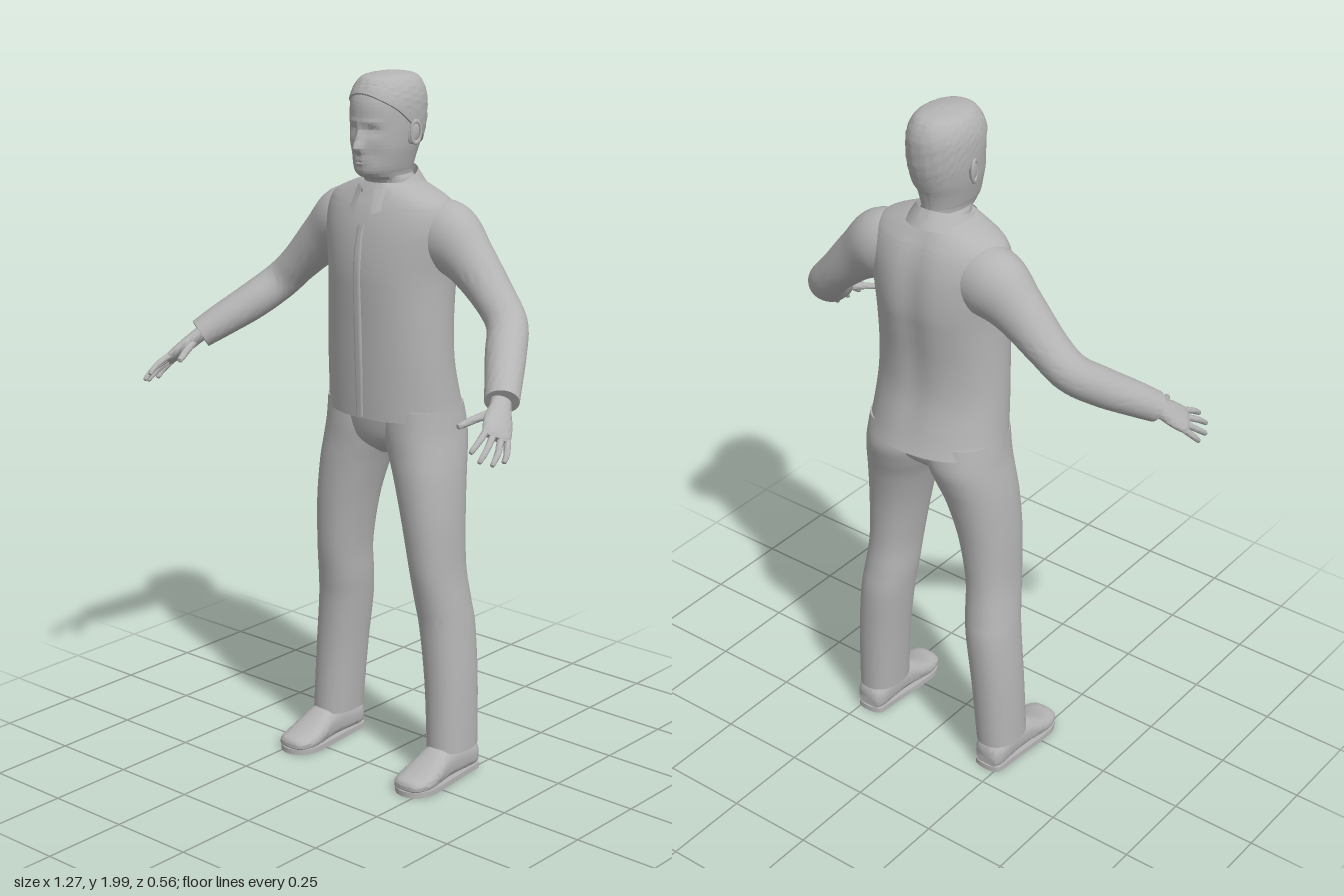
import * as THREE from 'three';
import { mergeVertices, toCreasedNormals } from 'three/addons/utils/BufferGeometryUtils.js';

const V = (x, y, z) => new THREE.Vector3(x, y, z);
const bell = (a, s) => Math.exp(-(a * a) / (2 * s * s));
const lerp = THREE.MathUtils.lerp;

export function createModel() {
  const man = new THREE.Group();
  man.name = 'standingMan';
  const grey = new THREE.MeshStandardMaterial({ color: 0xb4b4b4, side: THREE.DoubleSide });
  grey.name = 'plainGrey';

  const add = (name, geometry) => {
    const mesh = new THREE.Mesh(geometry, grey);
    mesh.name = name;
    man.add(mesh);
    return mesh;
  };

  // Catmull-Rom interpolation of a list of number rows
  const sample = (rows, t) => {
    const n = rows.length - 1, i = Math.min(Math.floor(t * n), n - 1), f = t * n - i;
    const at = k => rows[Math.max(0, Math.min(n, k))];
    const [a, b, c, d] = [at(i - 1), at(i), at(i + 1), at(i + 2)];
    return b.map((p, k) => p + 0.5 * f * (c[k] - a[k] +
      f * (2 * a[k] - 5 * p + 4 * c[k] - d[k] + f * (3 * (p - c[k]) + d[k] - a[k]))));
  };

  // Surface from fn(u, v), optionally with closed ends, mirrored when side is -1
  const surface = (fn, nu, nv, { cap = true, side = 1, crease = 0.9 } = {}) => {
    const rings = [];
    for (let j = 0; j <= nv; j++) {
      const ring = [];
      for (let i = 0; i <= nu; i++) ring.push(fn(i / nu, j / nv));
      rings.push(ring);
    }
    if (cap) {
      const centre = ring => {
        const c = V(0, 0, 0);
        for (let i = 0; i < nu; i++) c.addScaledVector(ring[i], 1 / nu);
        return ring.map(() => c);
      };
      rings.unshift(centre(rings[0]));
      rings.push(centre(rings[rings.length - 1]));
    }
    const pos = [], index = [], w = nu + 1;
    rings.forEach(r => r.forEach(p => pos.push(p.x * side, p.y, p.z)));
    for (let j = 0; j < rings.length - 1; j++) {
      for (let i = 0; i < nu; i++) {
        const a = j * w + i, b = a + 1, c = a + w, d = c + 1;
        if (side > 0) index.push(a, c, b, b, c, d);
        else index.push(a, b, c, b, d, c);
      }
    }
    const g = new THREE.BufferGeometry();
    g.setAttribute('position', new THREE.Float32BufferAttribute(pos, 3));
    g.setIndex(index);
    return toCreasedNormals(mergeVertices(g, 1e-6), crease);
  };

  // Point on a stack of level rings; rows are [y, centreX, halfWidth, frontZ, backZ]
  const pw = (a, p) => Math.sign(a) * Math.pow(Math.abs(a), 2 / p);
  const level = (rows, u, t, p = 2.1) => {
    const [y, cx, hw, zf, zb] = sample(rows, t), a = u * Math.PI * 2;
    return V(cx + hw * pw(Math.cos(a), p), y, (zf + zb) / 2 + (zf - zb) / 2 * pw(Math.sin(a), p));
  };

  // Tube along a path; rows are [x, y, z, radius along ref, other radius]
  const limb = (rows, ref, nu, nv, side) => surface((u, t) => {
    const r = sample(rows, t), q0 = sample(rows, Math.max(0, t - 0.01)), q1 = sample(rows, Math.min(1, t + 0.01));
    const T = V(q1[0] - q0[0], q1[1] - q0[1], q1[2] - q0[2]).normalize();
    const A = ref.clone().addScaledVector(T, -ref.dot(T)).normalize();
    const B = A.clone().cross(T), a = u * Math.PI * 2;
    return V(r[0], r[1], r[2]).addScaledVector(A, r[3] * Math.cos(a)).addScaledVector(B, r[4] * Math.sin(a));
  }, nu, nv, { side });

  // Head and neck, with the face raised and sunk by smooth bumps
  const headRows = [
    [1.62, 0, 0.066, -0.02, -0.165], [1.70, 0, 0.064, -0.018, -0.16], [1.72, 0, 0.058, 0.016, -0.16],
    [1.74, 0, 0.064, 0.03, -0.162], [1.77, 0, 0.072, 0.035, -0.169], [1.80, 0, 0.079, 0.037, -0.18],
    [1.83, 0, 0.083, 0.036, -0.189], [1.86, 0, 0.086, 0.034, -0.195], [1.90, 0, 0.087, 0.034, -0.197],
    [1.93, 0, 0.084, 0.028, -0.195], [1.96, 0, 0.073, 0.012, -0.183], [1.98, 0, 0.053, -0.012, -0.16],
    [1.99, 0, 0.005, -0.08, -0.09]];
  const bumps = [ // [x, y, spreadX, spreadY, height]
    [0, 1.80, 0.011, 0.011, 0.019], [0, 1.828, 0.008, 0.02, 0.011], [0.03, 1.845, 0.014, 0.009, -0.011],
    [0.03, 1.843, 0.008, 0.005, 0.006], [0.03, 1.868, 0.02, 0.006, 0.004], [0, 1.762, 0.017, 0.008, 0.008],
    [0, 1.762, 0.018, 0.002, -0.005], [0, 1.733, 0.02, 0.009, 0.006], [0.046, 1.78, 0.014, 0.018, -0.004]];
  add('head', surface((u, t) => {
    const p = level(headRows, u, t, 2.15), x = Math.abs(p.x);
    if (p.z > -0.05) for (const [bx, by, sx, sy, h] of bumps) p.z += h * bell(x - bx, sx) * bell(p.y - by, sy);
    return p;
  }, 120, 100));

  // Short rough hair, low at the nape and high on the forehead
  const skull = V(0, 1.88, -0.08);
  add('hair', surface((u, v) => {
    const a = u * Math.PI * 2, start = (6.9 + 2.4 * Math.sin(a)) / 12;
    const p = level(headRows, u, lerp(start, 1, v), 2.15);
    const rough = Math.sin(11 * a + 23 * v) * Math.sin(7 * a - 31 * v) + 0.6 * Math.sin(23 * a + 47 * v);
    const swell = v === 0 ? 0.985 : 1.045 + 0.012 * rough * (1 - v) * Math.min(1, 3 * v);
    return p.sub(skull).multiplyScalar(swell).add(skull);
  }, 90, 40, { crease: 0.5 }));

  // Shirt body with a shallow hollow along the spine
  const shirtRows = [
    [1.05, 0, 0.205, 0.035, -0.28], [1.10, 0, 0.2, 0.037, -0.263], [1.20, 0, 0.195, 0.04, -0.237],
    [1.30, 0, 0.192, 0.043, -0.234], [1.40, 0, 0.19, 0.047, -0.245], [1.46, 0, 0.192, 0.048, -0.252],
    [1.52, 0, 0.2, 0.043, -0.25], [1.58, 0, 0.207, 0.032, -0.24], [1.63, 0, 0.2, 0.016, -0.222],
    [1.66, 0, 0.178, 0.002, -0.203], [1.685, 0, 0.125, -0.01, -0.185], [1.70, 0, 0.084, -0.018, -0.17]];
  add('shirtBody', surface((u, t) => {
    const p = level(shirtRows, u, t);
    if (p.z < -0.15) p.z += 0.012 * bell(p.x, 0.028) * Math.sin(Math.PI * t);
    return p;
  }, 64, 48));
  add('shirtPlacket', limb([[0, 1.055, 0.033, 0.014, 0.005], [0, 1.2, 0.039, 0.014, 0.005],
    [0, 1.4, 0.046, 0.014, 0.005], [0, 1.5, 0.044, 0.014, 0.005], [0, 1.59, 0.028, 0.012, 0.005]], V(1, 0, 0), 10, 16));

  // Folded collar, open at the throat
  add('collar', surface((u, v) => {
    const a = lerp(0.3, Math.PI * 2 - 0.3, u), k = (1 + Math.cos(a)) / 2;
    const top = 1.735 - 0.05 * k, f = Math.abs(v * 2 - 1);
    const outer = v > 0.5;
    const y = top - f * (outer ? 0.045 + 0.025 * k ** 8 : 0.04);
    const r = outer ? lerp(0.074, 0.102, f) : 0.074 - 0.004 * f;
    return V(r * Math.sin(a), y, -0.092 + 0.015 * k + (r + 0.006) * Math.cos(a));
  }, 48, 6, { cap: false }));

  // Trouser seat
  const seatRows = [[0.93, 0, 0.03, -0.06, -0.15], [0.96, 0, 0.09, -0.02, -0.185],
    [1.0, 0, 0.16, 0.0, -0.225], [1.08, 0, 0.192, 0.012, -0.238]];
  add('trouserSeat', surface((u, t) => level(seatRows, u, t), 48, 14));

  const legRows = [
    [0.085, 0.218, 0.062, -0.035, -0.198], [0.28, 0.207, 0.067, -0.04, -0.205], [0.44, 0.191, 0.07, -0.036, -0.209],
    [0.52, 0.182, 0.07, -0.025, -0.2], [0.62, 0.173, 0.068, -0.008, -0.19], [0.76, 0.158, 0.078, 0.003, -0.197],
    [0.88, 0.137, 0.09, 0.006, -0.218], [0.95, 0.119, 0.099, 0.005, -0.238], [1.01, 0.105, 0.103, 0.006, -0.251],
    [1.08, 0.1, 0.1, 0.005, -0.24]];
  const armRows = [
    [0.10, 1.565, -0.125, 0.085, 0.08], [0.18, 1.557, -0.122, 0.1, 0.088], [0.26, 1.503, -0.118, 0.074, 0.07],
    [0.35, 1.418, -0.11, 0.056, 0.06], [0.41, 1.357, -0.09, 0.054, 0.056], [0.46, 1.30, -0.022, 0.053, 0.055],
    [0.51, 1.25, 0.05, 0.048, 0.05], [0.547, 1.212, 0.104, 0.042, 0.046]];
  // Shoe rows run toe to heel: [z, halfWidth, bottomY, topY]
  const shoeRows = [[0.103, 0.012, 0.02, 0.03], [0.092, 0.042, 0.012, 0.044], [0.05, 0.057, 0.008, 0.054],
    [0.0, 0.056, 0.008, 0.078], [-0.04, 0.05, 0.008, 0.1], [-0.1, 0.046, 0.008, 0.108],
    [-0.17, 0.047, 0.008, 0.1], [-0.195, 0.034, 0.01, 0.08]];
  const sole = new THREE.Shape();
  sole.moveTo(0.044, 0.18);
  sole.bezierCurveTo(0.042, 0.207, -0.042, 0.207, -0.044, 0.18);
  sole.bezierCurveTo(-0.05, 0.08, -0.06, 0.02, -0.061, -0.04);
  sole.bezierCurveTo(-0.056, -0.128, 0.056, -0.128, 0.061, -0.04);
  sole.bezierCurveTo(0.06, 0.02, 0.05, 0.08, 0.044, 0.18);

  // Finger paths: base, joint and tip
  const spread = V(0.574, -0.5, -0.645);
  const fingers = {
    indexFinger: [[0.574, 1.163, 0.2], [0.583, 1.143, 0.242], [0.582, 1.122, 0.272]],
    middleFinger: [[0.587, 1.152, 0.188], [0.604, 1.126, 0.235], [0.607, 1.101, 0.268]],
    ringFinger: [[0.6, 1.141, 0.174], [0.62, 1.111, 0.212], [0.625, 1.089, 0.239]],
    littleFinger: [[0.61, 1.132, 0.16], [0.626, 1.106, 0.182], [0.63, 1.088, 0.198]],
    thumb: [[0.552, 1.193, 0.125], [0.528, 1.181, 0.178], [0.507, 1.166, 0.226]]
  };

  for (const [label, s] of [['left', 1], ['right', -1]]) {
    add(label + 'TrouserLeg', surface((u, t) => level(legRows, u, t, 2.2), 40, 44, { side: s }));
    add(label + 'Sleeve', limb(armRows, V(0, 1, 0), 36, 44, s));

    // Shoe upper and sole
    add(label + 'Shoe', surface((u, t) => {
      const [z, hw, y0, y1] = sample(shoeRows, t), a = u * Math.PI * 2, h = Math.sin(a);
      return V(0.22 + hw * pw(Math.cos(a), 2.4), (y0 + y1) / 2 + (y1 - y0) / 2 * pw(h, h < 0 ? 4 : 2), z);
    }, 32, 30, { side: s }));
    const soleGeometry = new THREE.ExtrudeGeometry(sole, { depth: 0.016, bevelEnabled: false, curveSegments: 14 });
    soleGeometry.rotateX(Math.PI / 2).scale(1, 1, -1).rotateZ(Math.PI);
    soleGeometry.rotateY(Math.PI);
    const soleMesh = add(label + 'Sole', new THREE.ExtrudeGeometry(sole, { depth: 0.016, bevelEnabled: false, curveSegments: 14 }));
    soleGeometry.dispose();
    soleMesh.rotation.x = -Math.PI / 2; // shape's up becomes the heel end
    soleMesh.position.set(0.22 * s, 0, 0);

    // Hand
    add(label + 'Palm', limb([[0.535, 1.225, 0.088, 0.028, 0.021], [0.555, 1.2, 0.12, 0.031, 0.02],
      [0.572, 1.175, 0.15, 0.041, 0.018], [0.591, 1.149, 0.18, 0.042, 0.014],
      [0.597, 1.14, 0.19, 0.036, 0.009]], spread, 24, 16, s));
    for (const [name, [a, b, c]] of Object.entries(fingers)) {
      const r = name === 'thumb' ? 0.012 : 0.0095;
      const tip = c.map((q, i) => q + (c[i] - b[i]) * 0.12);
      add(label + '_' + name, limb([[...a, r, r], [...b, r * 0.9, r * 0.9], [...c, r * 0.7, r * 0.7],
        [...tip, r * 0.25, r * 0.25]], spread, 12, 12, s));
    }

    // Ear: shallow bowl with a raised rim
    const bowl = add(label + 'Ear', new THREE.SphereGeometry(1, 20, 14));
    bowl.scale.set(0.009, 0.031, 0.018);
    bowl.position.set(0.087 * s, 1.835, -0.085);
    bowl.rotation.set(-0.2, -0.3 * s, 0.12 * -s);
    const rim = add(label + 'EarRim', new THREE.TorusGeometry(0.02, 0.0045, 8, 28));
    rim.scale.set(0.8, 1.45, 1);
    rim.position.set(0.093 * s, 1.837, -0.088);
    rim.rotation.set(0, Math.PI / 2 - 0.3 * s, 0);
  }
  return man;
}
